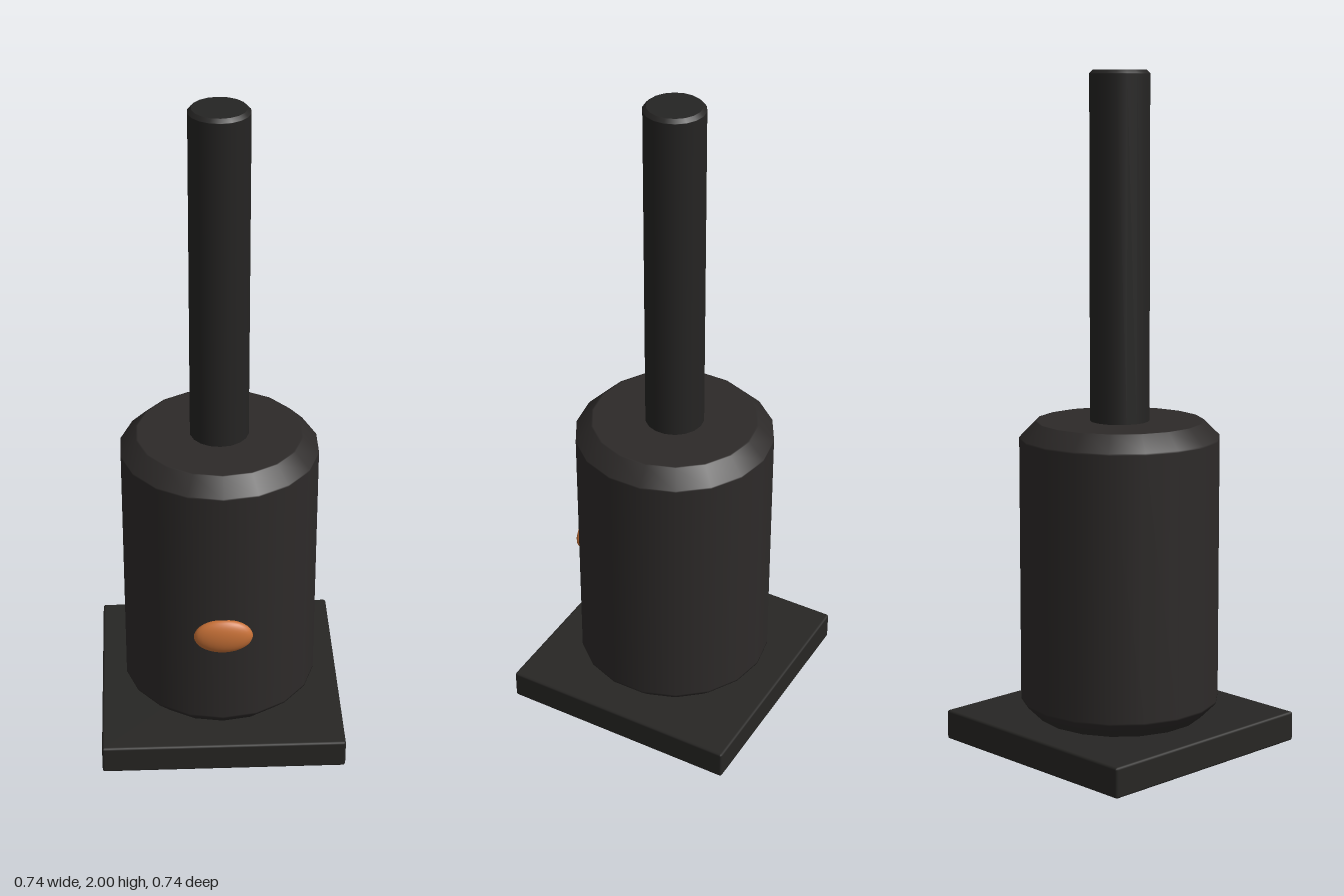
import * as THREE from 'three';
import { RoundedBoxGeometry } from 'three/addons/geometries/RoundedBoxGeometry.js';

const SIDES = 18;

function addMesh(group, name, geometry, color, x = 0, y = 0, z = 0) {
  const mesh = new THREE.Mesh(geometry, new THREE.MeshStandardMaterial({ color }));
  mesh.name = name;
  mesh.position.set(x, y, z);
  group.add(mesh);
  return mesh;
}

// Closed cylinder with chamfered rims; extra rings keep the caps and walls flat
function chamferedCylinder(radius, y0, y1, bevel) {
  const inner = radius - bevel;
  const e = bevel * 0.12;
  const profile = [
    [0, y0], [inner - e, y0], [inner, y0],
    [radius, y0 + bevel], [radius, y0 + bevel + e],
    [radius, y1 - bevel - e], [radius, y1 - bevel],
    [inner, y1], [inner - e, y1], [0, y1],
  ].map(([r, y]) => new THREE.Vector2(r, y));
  return new THREE.LatheGeometry(profile, SIDES);
}

export function createModel() {
  const model = new THREE.Group();
  model.name = 'model';

  // Square foot plate with finely eased edges
  addMesh(model, 'basePlate', new RoundedBoxGeometry(0.74, 0.09, 0.74, 1, 0.007), 0x272624, 0, 0.045, 0);

  // Stout cylinder body
  addMesh(model, 'body', chamferedCylinder(0.297, 0.09, 0.98, 0.047), 0x2d2a29);

  // Slender rod rising from the body
  addMesh(model, 'rod', chamferedCylinder(0.088, 0.95, 2, 0.01), 0x252423);

  // Oval button on the front
  const button = addMesh(model, 'button', new THREE.SphereGeometry(1, 24, 16), 0xc87137, 0, 0.45, 0.297);
  button.scale.set(0.088, 0.057, 0.028);

  return model;
}
